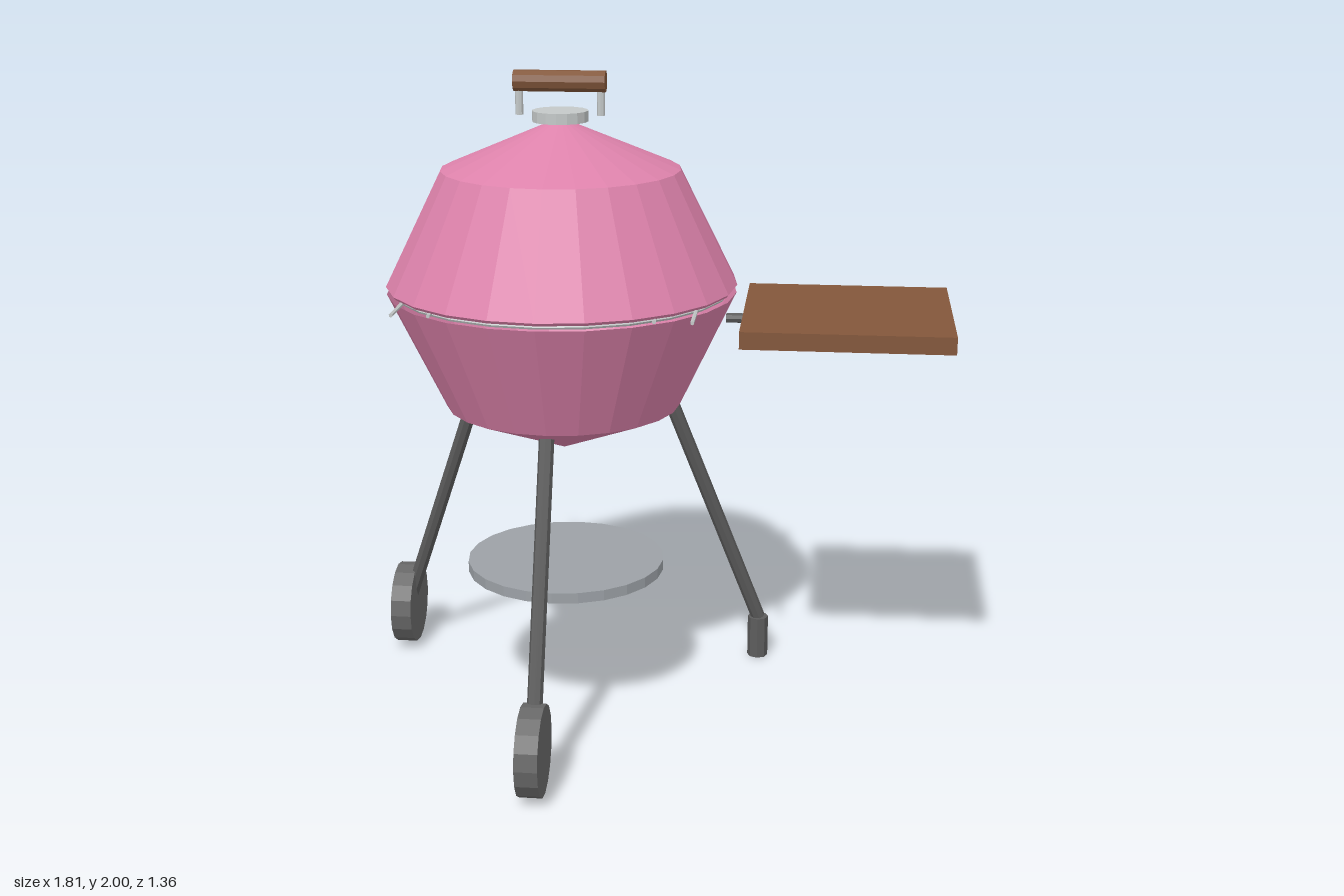
import * as THREE from 'three';

const CX = -0.275, CZ = -0.147; // vertical axis of the kettle

function material(name, color, side = THREE.FrontSide) {
  const m = new THREE.MeshStandardMaterial({ color, flatShading: true, side });
  m.name = name;
  return m;
}

export function createModel() {
  const group = new THREE.Group();
  const pink = material('pink enamel', 0xdd82ab, THREE.DoubleSide);
  const wood = material('brown wood', 0x83573b);
  const silver = material('light metal', 0xc4c8c8);
  const steel = material('grey metal', 0x9ca1a6);
  const dark = material('dark metal', 0x5c5c5c);
  const rubber = material('wheel grey', 0x686868);

  const add = (name, geometry, mat, x = 0, y = 0, z = 0) => {
    const mesh = new THREE.Mesh(geometry, mat);
    mesh.name = name;
    mesh.position.set(x, y, z);
    group.add(mesh);
    return mesh;
  };
  // Straight rod between two points
  const rod = (name, a, b, r, sides, mat) => {
    const dir = b.clone().sub(a);
    const mesh = add(name, new THREE.CylinderGeometry(r, r, dir.length(), sides), mat);
    mesh.position.copy(a).add(b).multiplyScalar(0.5);
    mesh.quaternion.setFromUnitVectors(new THREE.Vector3(0, 1, 0), dir.normalize());
    return mesh;
  };
  const at = (x, y, z) => new THREE.Vector3(CX + x, y, CZ + z);
  const lathe = (points) =>
    new THREE.LatheGeometry(points.map(([r, y]) => new THREE.Vector2(r, y)), 24);

  // Kettle: bowl and lid with a narrow gap between them
  add('bowl', lathe([[0, 0.835], [0.36, 0.985], [0.53, 1.343]]), pink, CX, 0, CZ);
  add('lid', lathe([[0.525, 1.357], [0.532, 1.366], [0.36, 1.71], [0, 1.862]]), pink, CX, 0, CZ);

  // Cooking grate: rim and bars, the outer bars reach past the bowl
  const rim = add('grateRim', new THREE.TorusGeometry(0.508, 0.007, 6, 24), silver, CX, 1.35, CZ);
  rim.rotation.x = Math.PI / 2;
  for (let i = -4; i <= 4; i++) {
    const x = (i / 4) * 0.43;
    rod('grateBar', at(x, 1.353, -0.43), at(x, 1.353, 0.43), 0.006, 6, silver);
  }

  // Top vent and lid handle
  add('vent', new THREE.CylinderGeometry(0.084, 0.084, 0.032, 16), silver, CX, 1.866, CZ);
  for (const s of [-1, 1]) rod('handlePost', at(s * 0.122, 1.868, 0), at(s * 0.122, 1.96, 0), 0.012, 8, silver);
  rod('handleGrip', at(-0.137, 1.968, 0), at(0.137, 1.968, 0), 0.032, 10, wood);

  // Side shelf on a short bracket
  add('shelf', new THREE.BoxGeometry(0.62, 0.052, 0.62), wood, 0.59, 1.273, -0.15);
  rod('shelfBracket', at(0.5, 1.263, 0), at(0.58, 1.263, 0), 0.015, 8, dark);

  // Three splayed legs: two end in wheels, one in a foot
  for (const [angle, hasWheel] of [[90, true], [210, true], [330, false]]) {
    const a = THREE.MathUtils.degToRad(angle);
    const c = Math.cos(a), s = -Math.sin(a) * -1;
    const end = at(c * 0.693, 0.14, s * 0.693);
    rod('leg', at(c * 0.352, 0.972, s * 0.352), end, 0.023, 8, dark);
    if (hasWheel) {
      const wheel = add('wheel', new THREE.CylinderGeometry(0.135, 0.135, 0.068, 16), rubber, end.x, 0.141, end.z);
      wheel.rotation.z = Math.PI / 2;
    } else {
      add('foot', new THREE.CylinderGeometry(0.034, 0.034, 0.14, 8), dark, end.x, 0.07, end.z);
    }
  }

  // Ash tray between the legs
  add('ashTray', new THREE.CylinderGeometry(0.31, 0.31, 0.033, 24), steel, CX, 0.452, CZ);
  return group;
}
